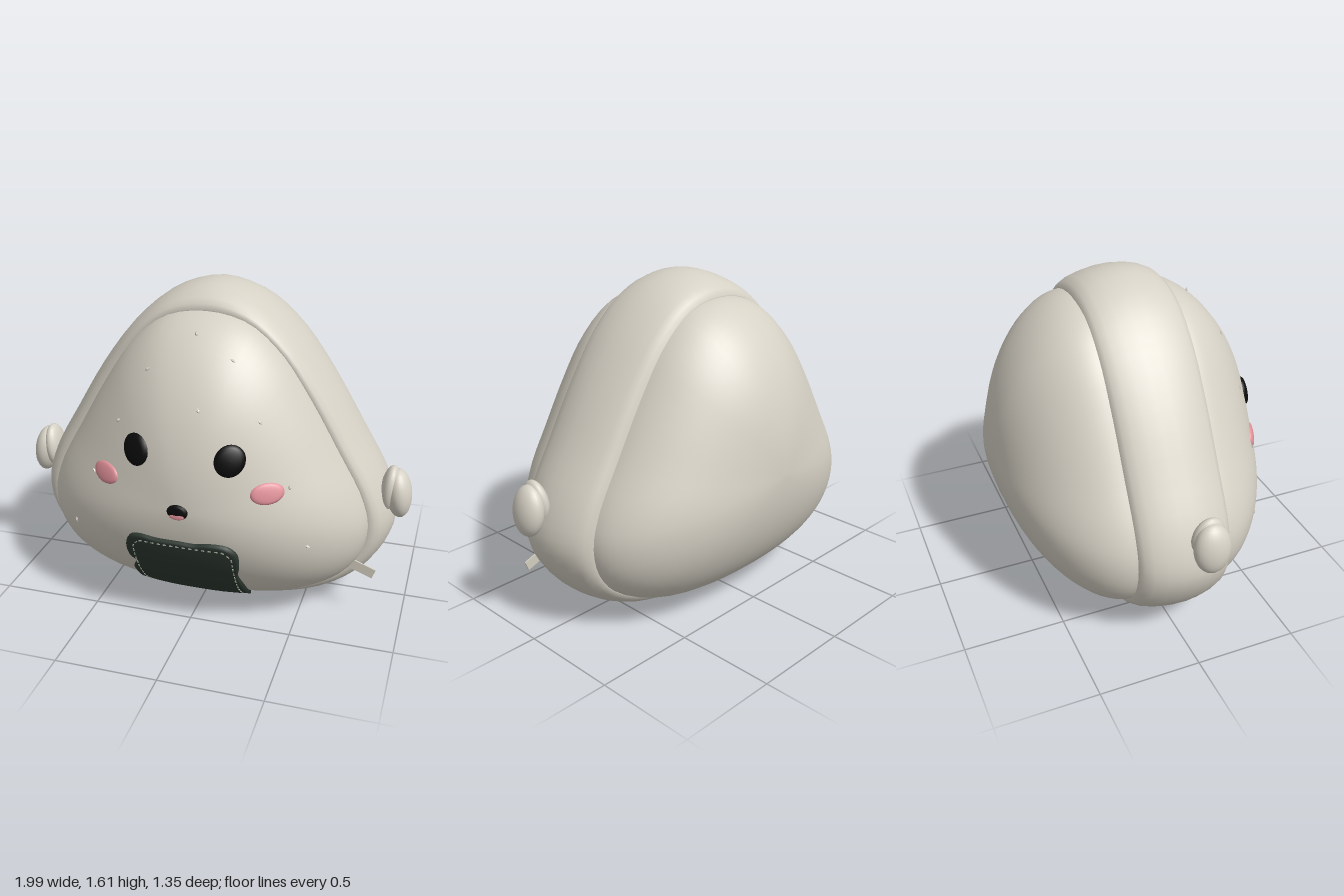
import * as THREE from 'three';
import { mergeGeometries } from 'three/addons/utils/BufferGeometryUtils.js';

const mat = (name, color) => new THREE.MeshStandardMaterial({ name, color });
const SEG = 72;

// Closed smooth outline from points given clockwise as seen from the front
function outline(points, n) {
  const curve = new THREE.CatmullRomCurve3(points.map(([x, y]) => new THREE.Vector3(x, y, 0)), true, 'centripetal');
  return Array.from({ length: n }, (_, i) => curve.getPoint(i / n));
}
// Mirror a right half that starts at the top centre and ends at the bottom centre
const mirrored = (half) => [...half, ...half.slice(1, -1).reverse().map(([x, y]) => [-x, y])];

const SEAM = outline(mirrored([[0, 1.5], [0.2, 1.46], [0.36, 1.33], [0.5, 1.13], [0.65, 0.87], [0.77, 0.65],
  [0.81, 0.5], [0.785, 0.35], [0.69, 0.22], [0.5, 0.115], [0.25, 0.062], [0, 0.05]]), SEG);
const RIM = outline(mirrored([[0, 1.605], [0.2, 1.55], [0.39, 1.4], [0.57, 1.17], [0.74, 0.89], [0.87, 0.66],
  [0.92, 0.48], [0.89, 0.35], [0.79, 0.2], [0.6, 0.06], [0.3, -0.03], [0, -0.04]]), SEG);

// Skin a list of closed rings, ordered front to back or centre to edge
function loft(rings) {
  const n = rings[0].length, pos = [], idx = [];
  rings.forEach((r) => r.forEach((p) => pos.push(p.x, p.y, p.z)));
  for (let i = 0; i < rings.length - 1; i++) {
    for (let j = 0; j < n; j++) {
      const a = i * n + j, b = i * n + (j + 1) % n;
      idx.push(a, b, a + n, b, b + n, a + n);
    }
  }
  const g = new THREE.BufferGeometry();
  g.setAttribute('position', new THREE.Float32BufferAttribute(pos, 3));
  g.setIndex(idx);
  g.computeVertexNormals();
  return g;
}

// Domed cushion: scaled seam outlines that swell in z
const FRONT = { cy: 0.68, z: 0.215, depth: 0.445, pow: 0.63 };
const BACK = { cy: 0.73, z: -0.23, depth: -0.445, pow: 0.58 };
const swell = (d, s) => d.z + d.depth * Math.pow(Math.max(0, 1 - s * s), d.pow);
function dome(d) {
  const rings = [];
  for (let i = 0; i <= 20; i++) {
    const s = Math.sin((i / 20) * Math.PI / 2);
    rings.push(SEAM.map((p) => new THREE.Vector3(p.x * s, d.cy + (p.y - d.cy) * s, swell(d, i === 20 ? 1 : s))));
  }
  return loft(d.depth > 0 ? rings : rings.reverse());
}

// Height of the front cushion at x, y
function frontZ(x, y) {
  const py = y - FRONT.cy;
  let s = 0;
  for (let i = 0; i < SEG; i++) {
    const a = SEAM[i], b = SEAM[(i + 1) % SEG];
    const ay = a.y - FRONT.cy, ex = b.x - a.x, ey = b.y - a.y;
    s = Math.max(s, (x * ey - py * ex) / (a.x * ey - ay * ex)); // the outline is convex
  }
  return swell(FRONT, Math.min(1, s));
}
// Point lifted off the front cushion along its normal
function onFront(x, y, lift) {
  const e = 0.004, z = frontZ(x, y);
  const n = new THREE.Vector3((frontZ(x - e, y) - frontZ(x + e, y)) / (2 * e),
    (frontZ(x, y - e) - frontZ(x, y + e)) / (2 * e), 1).normalize();
  return new THREE.Vector3(x, y, z).addScaledVector(n, lift);
}
// Patch draped on the front cushion, with its edge tucked in
function patch(points, cx, cy, liftAt, steps = 6) {
  const rings = [];
  for (let i = 0; i <= steps; i++) {
    const r = i / steps;
    rings.push(points.map((p) => onFront(cx + (p.x - cx) * r, cy + (p.y - cy) * r, liftAt(r))));
  }
  rings.push(points.map((p) => onFront(p.x, p.y, -0.008)));
  return loft(rings);
}
function ovalPatch(cx, cy, rx, ry, height, base = 0.002) {
  const pts = Array.from({ length: 28 }, (_, i) => {
    const a = (i / 28) * Math.PI * 2;
    return new THREE.Vector3(cx + rx * Math.sin(a), cy + ry * Math.cos(a), 0);
  });
  return patch(pts, cx, cy, (r) => base + height * Math.sqrt(1 - r * r));
}

export function createModel() {
  const model = new THREE.Group();
  const rice = mat('rice cloth', 0xd6d1c5);
  const green = mat('seaweed green', 0x2d3830);
  const black = mat('black', 0x0b0b0b);
  const pink = mat('pink', 0xe3939b);
  const thread = mat('pale thread', 0x9fa99d);
  const tagCloth = mat('tag cloth', 0xd2cdbf);
  const add = (name, geometry, material, parent = model) => {
    const m = new THREE.Mesh(geometry, material);
    m.name = name;
    parent.add(m);
    return m;
  };

  // Body: two cushions and a padded band between them
  add('frontCushion', dome(FRONT), rice);
  add('backCushion', dome(BACK), rice);
  const profile = [[0.215, -0.08], [0.22, 0.05], [0.214, 0.3], [0.19, 0.53], [0.14, 0.77], [0.08, 0.93], [0.02, 1],
    [-0.05, 0.97], [-0.12, 0.83], [-0.18, 0.6], [-0.215, 0.35], [-0.235, 0.05], [-0.23, -0.08]];
  add('sideBand', loft(profile.map(([z, t]) => SEAM.map((p, i) => {
    const v = p.clone().lerp(RIM[i], t);
    return v.set(v.x, Math.max(0, v.y), z);
  }))), rice);

  // Seaweed patch with a wavy edge
  const edge = outline([[-0.25, 0.075], [-0.272, 0.12], [-0.275, 0.22], [-0.268, 0.3], [-0.232, 0.34], [-0.268, 0.37],
    [-0.276, 0.45], [-0.25, 0.51], [-0.2, 0.525], [-0.12, 0.518], [0, 0.518], [0.07, 0.515], [0.13, 0.525], [0.22, 0.52],
    [0.265, 0.48], [0.27, 0.4], [0.255, 0.33], [0.27, 0.24], [0.268, 0.12], [0.245, 0.07], [0.2, 0.055], [0, 0.053],
    [-0.2, 0.055]], 88);
  add('seaweedPatch', patch(edge, 0, 0.28, () => 0.016, 14), green);

  // Dashed stitching around the patch
  const seam = new THREE.CatmullRomCurve3([[-0.24, 0.11], [-0.24, 0.45], [-0.195, 0.495], [0.195, 0.495], [0.24, 0.45],
    [0.24, 0.11], [0.195, 0.07], [-0.195, 0.07]].map(([x, y]) => new THREE.Vector3(x, y, 0)), true, 'catmullrom', 0.08);
  const dashes = [];
  for (let i = 0; i < 56; i++) {
    const p = seam.getPointAt(i / 56), q = seam.getPointAt((i + 0.5) / 56);
    const a = onFront(p.x, p.y, 0.017), b = onFront(q.x, q.y, 0.017);
    const o = new THREE.Object3D();
    o.position.copy(a).lerp(b, 0.5);
    o.lookAt(b);
    o.updateMatrix();
    dashes.push(new THREE.BoxGeometry(0.005, 0.005, a.distanceTo(b)).applyMatrix4(o.matrix));
  }
  add('stitching', mergeGeometries(dashes), thread);

  // Face
  for (const s of [1, -1]) {
    const side = s > 0 ? 'left' : 'right';
    add(side + 'Eye', ovalPatch(s * 0.222, 0.935, 0.067, 0.073, 0.018), black);
    add(side + 'Cheek', ovalPatch(s * 0.388, 0.78, 0.071, 0.049, 0.01), pink);
  }
  add('mouth', ovalPatch(-0.004, 0.68, 0.05, 0.037, 0.012), black);
  add('tongue', ovalPatch(-0.004, 0.661, 0.034, 0.015, 0.003, 0.011), pink);

  // Sesame seeds
  const seeds = [[0, 1.43, 0], [-0.205, 1.275, -1], [0.185, 1.34, 1], [0.07, 1.145, 0.4], [-0.335, 1.03, -1],
    [0.33, 1.09, 0.8], [-0.462, 0.76, 0.3], [0.477, 0.795, 0], [-0.59, 0.46, 0.1], [0.57, 0.51, 1.3]];
  for (const [x, y, turn] of seeds) {
    const seed = add('sesameSeed', new THREE.OctahedronGeometry(1), rice);
    seed.position.copy(onFront(x, y, 0.002));
    seed.scale.set(0.008, 0.015, 0.008);
    seed.rotation.z = turn;
  }

  // Stubby arms: a mitten over a small cuff
  for (const s of [1, -1]) {
    const arm = new THREE.Group();
    arm.name = s > 0 ? 'leftArm' : 'rightArm';
    const ball = new THREE.SphereGeometry(1, 24, 16);
    const hand = add('hand', ball, rice, arm);
    hand.position.set(s * 0.932, 0.622, 0.07);
    hand.scale.set(0.062, 0.125, 0.09);
    hand.rotation.z = s * 0.12;
    const cuff = add('cuff', ball, rice, arm);
    cuff.position.set(s * 0.885, 0.642, 0.072);
    cuff.scale.set(0.045, 0.12, 0.084);
    cuff.rotation.z = s * -0.12;
    model.add(arm);
  }

  // Cloth tag sewn into the front seam
  const tag = add('tag', new THREE.BoxGeometry(0.14, 0.05, 0.008), tagCloth);
  tag.position.set(0.79, 0.263, 0.224);
  tag.rotation.z = -0.36;

  return model;
}
